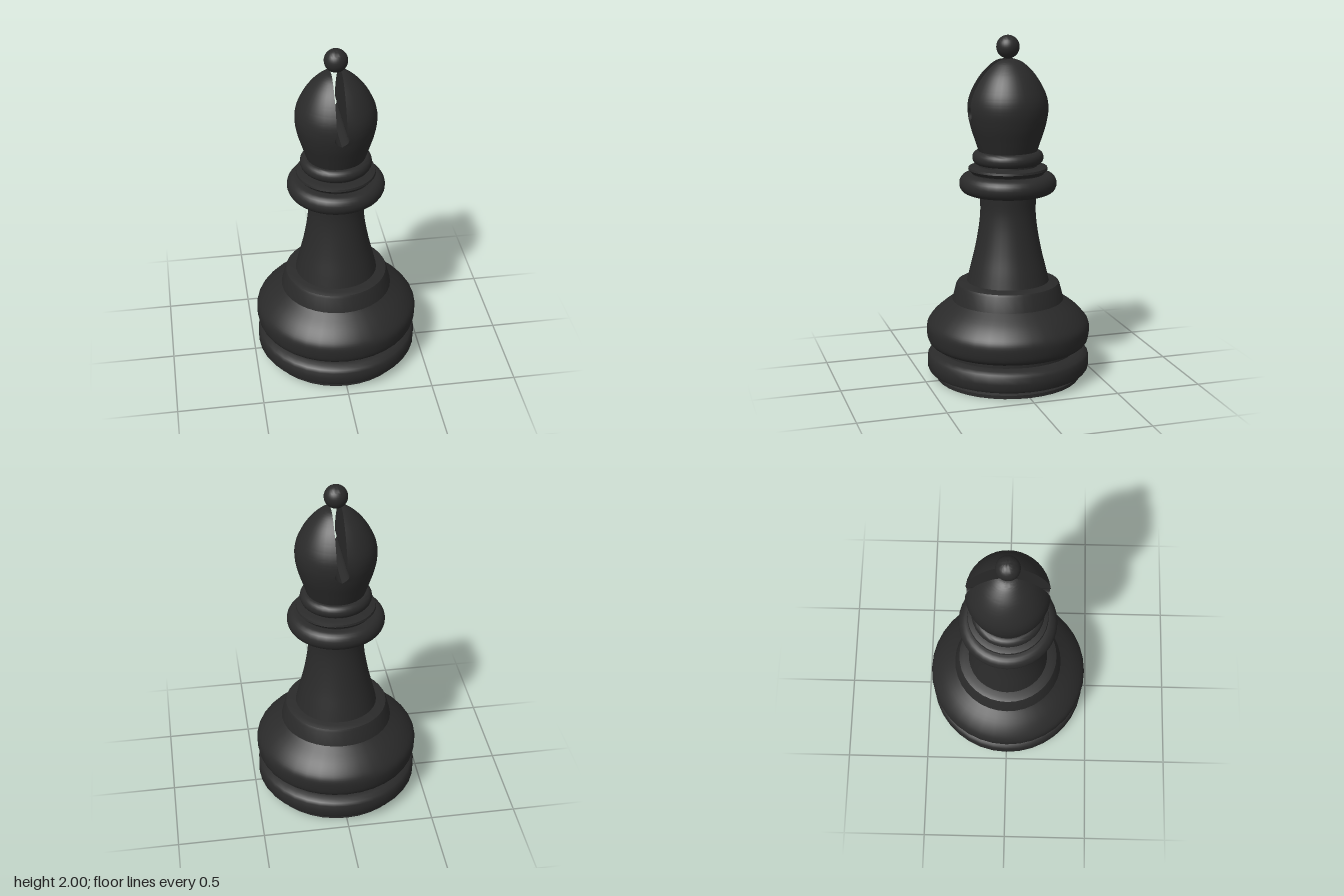
import * as THREE from 'three';
import { mergeGeometries, toCreasedNormals } from 'three/addons/utils/BufferGeometryUtils.js';

const SIDES = 36;
const material = new THREE.MeshStandardMaterial({ color: 0x2a2a2a });
const vec = ([r, y]) => new THREE.Vector2(r, y);
const smooth = (pts, n) => new THREE.SplineCurve(pts.map(vec)).getPoints(n);

function addMesh(group, name, geometry) {
  const mesh = new THREE.Mesh(toCreasedNormals(geometry, 0.6), material);
  mesh.name = name;
  group.add(mesh);
}

// Turned part; profile runs bottom to top as Vector2(radius, height)
function addTurned(group, name, profile) {
  addMesh(group, name, new THREE.LatheGeometry(profile, SIDES));
}

// Ring with rounded rim, from inner radius out and back
function ringProfile(inner, outer, y0, y1, bulge) {
  const mid = (y0 + y1) / 2, half = (y1 - y0) / 2, pts = [vec([inner, y0])];
  for (let i = 0; i <= 12; i++) {
    const a = -Math.PI / 2 + (i / 12) * Math.PI;
    pts.push(vec([outer - bulge + bulge * Math.cos(a), mid + half * Math.sin(a)]));
  }
  pts.push(vec([inner, y1]));
  return pts;
}

// Half width of the mitre cut: a round hole that opens into a straight slot
const HOLE_Y = 1.565, HOLE_R = 0.039, SLOT = 0.029;
function cutWidth(y) {
  const hole = Math.sqrt(Math.max(0, HOLE_R ** 2 - (y - HOLE_Y) ** 2));
  return y > HOLE_Y ? Math.max(SLOT, hole) : hole;
}

// One half of the head: an outer arc and a flat inner wall for every height
function headHalf(profile) {
  const pos = [], index = [], n = SIDES / 2, m = 8, row = n + 1 + m + 1;
  const cuts = profile.map(p => Math.min(cutWidth(p.y), p.x));
  profile.forEach((p, j) => {
    const w = cuts[j], a = Math.acos(w / p.x), z = Math.sqrt(Math.max(0, p.x ** 2 - w * w));
    for (let i = 0; i <= n; i++) {
      const t = a - (2 * a * i) / n;
      pos.push(p.x * Math.cos(t), p.y, p.x * Math.sin(t));
    }
    for (let i = 0; i <= m; i++) pos.push(w, p.y, -z + (2 * z * i) / m);
  });
  for (let j = 0; j < profile.length - 1; j++) {
    for (let i = 0; i < row - 1; i++) {
      if (i === n || (i > n && cuts[j + 1] === 0)) continue;
      const a = j * row + i, b = a + 1, c = a + row, d = c + 1;
      index.push(a, b, d, a, d, c);
    }
  }
  const geo = new THREE.BufferGeometry();
  geo.setAttribute('position', new THREE.Float32BufferAttribute(pos, 3));
  geo.setIndex(index);
  geo.computeVertexNormals();
  return geo;
}

export function createModel() {
  const group = new THREE.Group();
  group.name = 'bishop';

  // Base
  addTurned(group, 'foot', [[0, 0], [0.423, 0], [0.423, 0.02], [0.4, 0.03], [0.4, 0.22]].map(vec));
  addTurned(group, 'plinth', [
    [0.38, 0.035], [0.41, 0.036], [0.445, 0.043], [0.465, 0.052], [0.473, 0.066], [0.474, 0.1],
    [0.473, 0.136], [0.462, 0.152], [0.44, 0.165], [0.41, 0.172], [0.38, 0.173],
  ].map(vec));
  addTurned(group, 'body', [
    vec([0.38, 0.195]),
    ...smooth([[0.41, 0.197], [0.445, 0.207], [0.468, 0.23], [0.477, 0.28], [0.474, 0.325],
      [0.45, 0.365], [0.4, 0.415], [0.325, 0.47]], 24),
    ...[[0.303, 0.555], [0.296, 0.569], [0.27, 0.578], [0.2, 0.583]].map(vec),
  ]);

  // Stem
  addTurned(group, 'stem', smooth([[0.24, 0.575], [0.222, 0.65], [0.197, 0.75], [0.177, 0.85],
    [0.164, 0.94], [0.16, 1.02], [0.168, 1.12]], 24));

  // Collar rings
  addTurned(group, 'collar', ringProfile(0.14, 0.28, 1.1, 1.212, 0.05));
  addTurned(group, 'collarStep', [[0.205, 1.2], [0.207, 1.217], [0.228, 1.238], [0.225, 1.25],
    [0.2, 1.257], [0.14, 1.26]].map(vec));
  addTurned(group, 'neck', [[0.17, 1.24], [0.165, 1.36]].map(vec));
  addTurned(group, 'neckRing', ringProfile(0.14, 0.204, 1.268, 1.345, 0.035));

  // Head with the mitre cut running front to back
  const half = headHalf(smooth([[0.165, 1.335], [0.19, 1.41], [0.215, 1.49], [0.229, 1.57],
    [0.224, 1.64], [0.197, 1.71], [0.153, 1.78], [0.1, 1.835], [0.06, 1.861], [0.029, 1.867]], 80));
  addMesh(group, 'head', mergeGeometries([half, half.clone().rotateY(Math.PI)]));

  // Finial ball
  const ball = new THREE.SphereGeometry(0.066, 32, 20);
  ball.translate(0, 1.934, 0);
  addMesh(group, 'finial', ball);

  return group;
}
